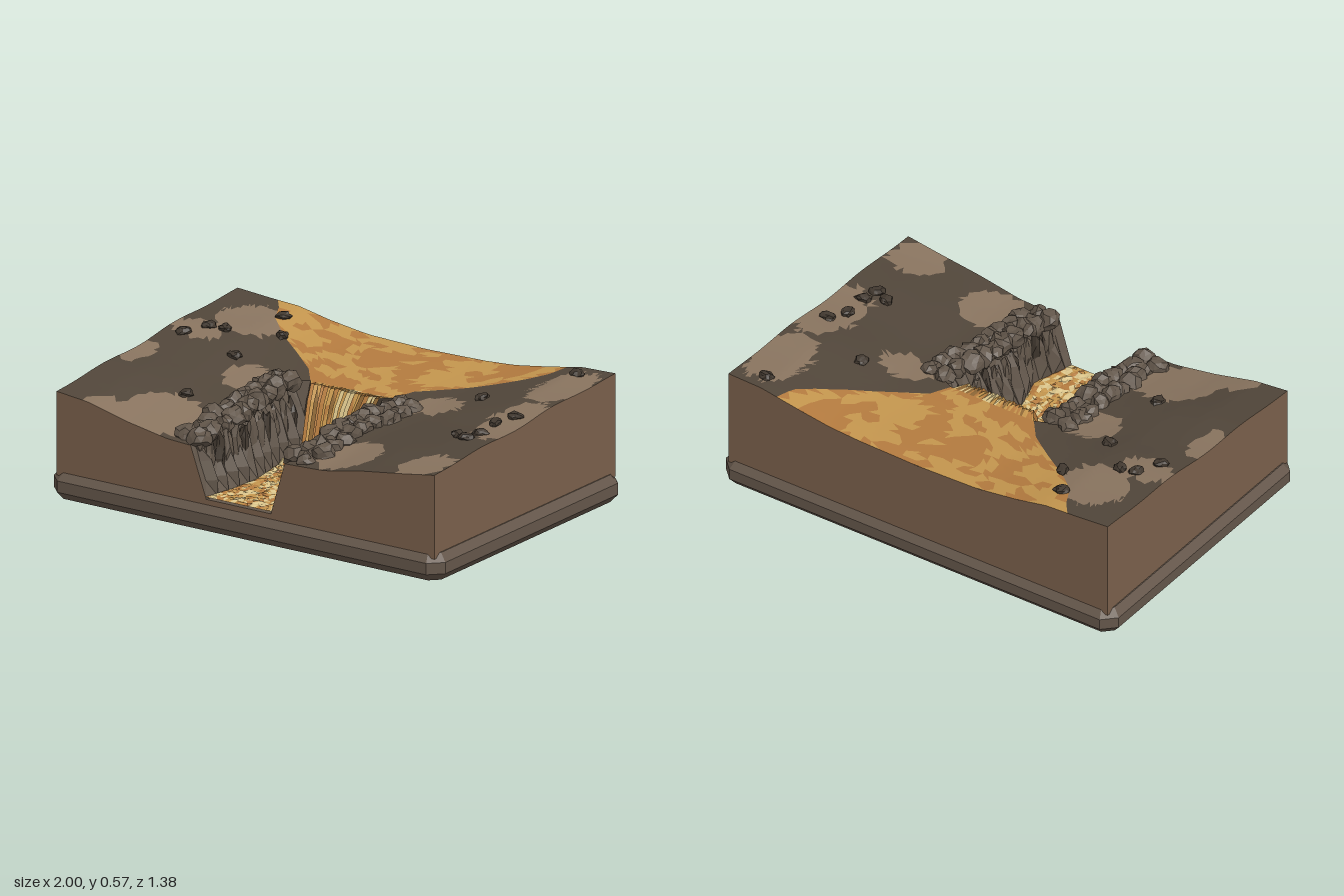
import * as THREE from 'three';

const mat = (name, color) => Object.assign(new THREE.MeshStandardMaterial({ color }), { name });
const M = {
  landDark: mat('dark ash', 0x51463a), landLight: mat('light ash', 0x89745f),
  rock: mat('grey rock', 0x62564a), stone: mat('dark stone', 0x41382f),
  body: mat('brown earth', 0x7a604b), trim: mat('plinth brown', 0x64564a),
  orange: mat('lava orange', 0xb47b3f), gold: mat('lava gold', 0xc4964e),
  cream: mat('hot cream', 0xdac48a), amber: mat('deep amber', 0x8c6635),
};
const W = 0.965, D = 0.663, ROWS = 40, FALL_ROW = 17, COLS = 26;
const FALL_Z = -D + FALL_ROW * 2 * D / ROWS;
const FLOOR = 0.14;

const hash = (a, b = 0, c = 0) => {
  const s = Math.sin(a * 127.1 + b * 311.7 + c * 74.7) * 43758.5453;
  return s - Math.floor(s);
};
// Piecewise linear lookup
const table = (pts, x) => {
  if (x <= pts[0][0]) return pts[0][1];
  for (let i = 1; i < pts.length; i++) {
    const [x0, y0] = pts[i - 1], [x1, y1] = pts[i];
    if (x <= x1) return y0 + (y1 - y0) * (x - x0) / (x1 - x0);
  }
  return pts[pts.length - 1][1];
};
const mix = THREE.MathUtils.lerp;

// Ground height from a back profile, a front profile and gentle waves
const BACK = [[-0.965, 0.56], [-0.8, 0.548], [-0.65, 0.54], [-0.5, 0.51], [-0.3, 0.483], [0, 0.475], [0.3, 0.482], [0.45, 0.492], [0.6, 0.515], [0.8, 0.55], [0.965, 0.555]];
const FRONT = [[-0.965, 0.47], [-0.8, 0.453], [-0.6, 0.405], [-0.4, 0.37], [-0.25, 0.362], [0.2, 0.375], [0.4, 0.383], [0.6, 0.42], [0.8, 0.447], [0.965, 0.472]];
const height = (x, z) => {
  const t = (z + D) / (2 * D);
  const wave = 0.008 * Math.sin(t * 14.5 + 3) * Math.sin(Math.PI * t) * Math.min(1, Math.abs(x) * 1.3);
  return mix(table(BACK, x), table(FRONT, x), Math.pow(t, 1.9 - 0.8 * Math.abs(x))) + wave;
};

// Inner edges of the land: lava lake first, then the canyon lip
const LEFT = [[-0.663, -0.76], [-0.6, -0.71], [-0.5, -0.66], [-0.4, -0.55], [-0.3, -0.41], [-0.2, -0.28], [-0.0995, -0.2], [-0.06, -0.28], [0.3, -0.27], [0.663, -0.28]];
const RIGHT = [[-0.663, 0.72], [-0.57, 0.7], [-0.5, 0.64], [-0.4, 0.53], [-0.3, 0.4], [-0.2, 0.26], [-0.0995, 0.22], [-0.06, 0.3], [0.3, 0.24], [0.45, 0.25], [0.663, 0.2]];
const FLOOR_L = [[-0.0995, -0.17], [0.1, -0.2], [0.35, -0.16], [0.5, -0.17], [0.663, -0.2]];
const FLOOR_R = [[-0.0995, 0.17], [0.1, 0.16], [0.3, 0.14], [0.47, 0.19], [0.663, 0.13]];

// Grid surface: place(i, j) gives a point, pick(x, y, z) gives a material index
function patch(name, nu, nv, place, mats, pick = () => 0, flat = false) {
  const pos = [], lists = mats.map(() => []);
  for (let j = 0; j <= nv; j++) for (let i = 0; i <= nu; i++) pos.push(...place(i, j));
  const add = (...tri) => {
    const c = [0, 1, 2].map(k => tri.reduce((s, n) => s + pos[n * 3 + k] / 3, 0));
    lists[pick(...c)].push(...tri);
  };
  for (let j = 0; j < nv; j++) for (let i = 0; i < nu; i++) {
    const a = j * (nu + 1) + i, b = a + 1, c = a + nu + 1, d = c + 1;
    if ((i + j) % 2) { add(a, c, b); add(b, c, d); } else { add(a, c, d); add(a, d, b); }
  }
  let g = new THREE.BufferGeometry();
  g.setAttribute('position', new THREE.Float32BufferAttribute(pos, 3));
  g.setIndex(lists.flat());
  let start = 0;
  lists.forEach((l, k) => { g.addGroup(start, l.length, k); start += l.length; });
  if (flat) g = g.toNonIndexed();
  g.computeVertexNormals();
  const m = new THREE.Mesh(g, mats);
  m.name = name;
  return m;
}
const rowZ = j => -D + j * 2 * D / ROWS;
// Point on the ground between two edges, jittered inside
const ground = (i, j, nu, edgeA, edgeB) => {
  const inside = i > 0 && i < nu && j > 0 && j < ROWS && j !== FALL_ROW;
  const z = rowZ(j) + (inside ? (hash(i, j, 1) - 0.5) * 0.016 : 0);
  const u = (i + (inside ? (hash(i, j, 2) - 0.5) * 0.5 : 0)) / nu;
  const x = mix(edgeA(z), edgeB(z), u);
  return [x, height(x, z), z];
};
const leftEdge = z => table(LEFT, z), rightEdge = z => table(RIGHT, z);

// Pale ash patches: x, z, radius x, radius z
const PALE = [[-0.72, -0.42, 0.17, 0.16], [-0.85, -0.2, 0.12, 0.09], [-0.5, 0.5, 0.2, 0.17], [-0.68, 0.63, 0.16, 0.1], [-0.42, 0.02, 0.12, 0.12], [-0.93, 0.12, 0.06, 0.12],
  [0.86, -0.42, 0.12, 0.2], [0.9, 0.0, 0.13, 0.22], [0.42, 0.5, 0.14, 0.15], [0.85, 0.56, 0.12, 0.13], [0.45, -0.1, 0.12, 0.09]];
const ash = (x, y, z) => PALE.some(([a, b, r, s]) => ((x - a) / r) ** 2 + ((z - b) / s) ** 2 < 0.75 + 0.4 * hash(Math.round(x * 30), Math.round(z * 30))) ? 1 : 0;

// Faceted boulder with a hashed lumpy surface
function boulder(name, x, y, z, sx, sy, sz, seed, material) {
  const g = new THREE.IcosahedronGeometry(1, 1), p = g.attributes.position;
  for (let i = 0; i < p.count; i++) {
    const [a, b, c] = [p.getX(i), p.getY(i), p.getZ(i)].map(v => Math.round(v * 100) / 100 + 0);
    const k = 0.72 + 0.45 * hash(a + seed, b, c);
    p.setXYZ(i, a * k, b * k, c * k);
  }
  g.scale(sx, sy, sz);
  g.rotateY(seed * 1.7);
  g.computeVertexNormals();
  const m = new THREE.Mesh(g, material);
  m.name = name;
  m.position.set(x, y, z);
  return m;
}

export function createModel() {
  const root = new THREE.Group();
  root.name = 'lavaFallDiorama';

  // Plinth with cut corners and bevelled edges
  const [px, pz, cut] = [0.97, 0.66, 0.04];
  const plan = new THREE.Shape([[-px + cut, -pz], [px - cut, -pz], [px, -pz + cut], [px, pz - cut], [px - cut, pz], [-px + cut, pz], [-px, pz - cut], [-px, -pz + cut]].map(p => new THREE.Vector2(...p)));
  const plinth = new THREE.Mesh(new THREE.ExtrudeGeometry(plan, { depth: 0.05, bevelThickness: 0.035, bevelSize: 0.03, bevelSegments: 1 }).rotateX(-Math.PI / 2).translate(0, 0.035, 0), M.trim);
  plinth.name = 'plinth';
  root.add(plinth);

  // Earth block: four walls whose tops follow the ground
  const wall = (name, half, top, angle, dist) => {
    const s = new THREE.Shape([[-half, 0.1], [half, 0.1], ...top].map(p => new THREE.Vector2(...p)));
    const m = new THREE.Mesh(new THREE.ShapeGeometry(s).translate(0, 0, dist).rotateY(angle), M.body);
    m.name = name;
    root.add(m);
  };
  const line = (n, a, b, f) => Array.from({ length: n + 1 }, (_, i) => { const x = mix(a, b, i / n); return [x, f(x)]; });
  const frontH = x => height(x, D);
  wall('frontWall', W, [...line(COLS, W, rightEdge(D), frontH), [table(FLOOR_R, D), FLOOR], [table(FLOOR_L, D), FLOOR], ...line(COLS, leftEdge(D), -W, frontH)], 0, D);
  wall('backWall', W, line(80, W, -W, x => height(-x, -D)), Math.PI, D);
  wall('leftWall', D, line(ROWS, D, -D, s => height(W, -s)), Math.PI / 2, W);
  wall('rightWall', D, line(ROWS, D, -D, s => height(-W, s)), -Math.PI / 2, W);

  // Ash slopes and the lava lake between them
  const ashMats = [M.landDark, M.landLight];
  root.add(patch('rightSlope', COLS, ROWS, (i, j) => ground(i, j, COLS, () => -W, leftEdge), ashMats, ash));
  root.add(patch('leftSlope', COLS, ROWS, (i, j) => ground(i, j, COLS, rightEdge, () => W), ashMats, ash));
  root.add(patch('lavaLake', 28, FALL_ROW, (i, j) => ground(i, j, 28, leftEdge, rightEdge), [M.orange, M.gold],
    (x, y, z) => hash(Math.floor((x + 0.5 * z) / 0.075), Math.floor((z - 0.35 * x) / 0.06)) > 0.52 ? 1 : 0));

  // Canyon walls and bed with ridged columns
  const steps = [0, 0.35, 0.7, 1];
  root.add(patch('canyon', 7, ROWS - FALL_ROW, (i, j) => {
    const z = rowZ(j + FALL_ROW), left = i < 4, u = steps[left ? i : 7 - i];
    const lip = left ? leftEdge(z) : rightEdge(z), foot = table(left ? FLOOR_L : FLOOR_R, z);
    const ridge = u > 0 && u < 1 && j < ROWS - FALL_ROW ? (j % 2 ? 0.022 : -0.008) * (0.5 + hash(i, j)) : 0;
    return [mix(lip, foot, u) + (left ? ridge : -ridge), mix(height(lip, z), FLOOR, u), z];
  }, [M.rock], undefined, true));
  root.add(patch('cliffBehindFall', 10, 4, (i, j) => {
    const x = mix(mix(-0.2, -0.3, Math.min(1, j)), mix(0.22, 0.32, Math.min(1, j)), i / 10);
    return [x, mix(height(x, FALL_Z), FLOOR, j / 4), FALL_Z + 0.012 * j + (j ? 0.008 * hash(i, j) : 0)];
  }, [M.stone], undefined, true));

  // Lava fall: a pleated sheet in coloured strands
  const FALL = [[-0.1, 0.478], [-0.06, 0.462], [-0.02, 0.4], [0.01, 0.32], [0.04, 0.23], [0.09, 0.15]];
  const strands = 40;
  root.add(patch('lavaFall', strands, 5, (i, j) => {
    const [z, y] = FALL[j], t = j / 5;
    const x = mix(mix(-0.2, -0.13, Math.sqrt(t)), mix(0.21, 0.14, Math.sqrt(t)), i / strands);
    const pleat = j ? (i % 2 ? 0.016 : -0.01) * (0.5 + hash(i, 3)) + 0.02 * t * hash(i, 7) : 0;
    return [x, j ? y : height(x, FALL_Z), z + pleat];
  }, [M.orange, M.gold, M.cream, M.amber], (x, y, z) => {
    const r = hash(Math.floor((x / (1 - 0.34 * Math.sqrt(Math.max(0, 0.478 - y) / 0.33)) + 0.3) / 0.0105), 5);
    return y < 0.19 && r > 0.4 ? 2 : r < 0.27 ? 0 : r < 0.65 ? 1 : r < 0.8 ? 2 : 3;
  }, true));

  // Lower lava stream with pale flow streaks
  root.add(patch('lavaStream', 22, 44, (i, j) => {
    const z = mix(0.03, D, j / 44), inner = i > 0 && i < 22 && j < 44;
    const x = mix(table(FLOOR_L, z) - 0.004, table(FLOOR_R, z) + 0.004, i / 22);
    const foam = 0.03 * Math.max(0, 1 - Math.abs(z - 0.14) / 0.12);
    return [x + (inner ? 0.008 * (hash(i, j) - 0.5) : 0), FLOOR + 0.01 + (inner ? (0.008 + foam) * hash(i, j, 4) : 0), z];
  }, [M.orange, M.gold, M.cream], (x, y, z) => {
    const r = hash(Math.floor(x / 0.015), Math.floor(z / 0.035), 9);
    return r < 0.33 ? 0 : r < 0.66 ? 1 : 2;
  }, true));

  // Boulders in two ragged rows along each canyon lip
  const rim = new THREE.Group();
  rim.name = 'rimBoulders';
  for (const side of [-1, 1]) for (let k = 0; k < 10; k++) for (let r = 0; r < 2; r++) {
    const n = k * 2 + r + (side > 0 ? 40 : 0);
    const z = -0.04 + k * 0.071 + (hash(n, 1) - 0.5) * 0.03;
    const lip = side < 0 ? leftEdge(z) : rightEdge(z);
    const x = lip + side * (r * 0.065 - 0.005 + 0.025 * (hash(n, 2) - 0.5));
    const s = 0.042 + 0.016 * hash(n, 3);
    rim.add(boulder('rimBoulder', x, height(x, z) + 0.008 - r * 0.006, Math.min(z, D - 0.055), s, s * 0.95, s, n, M.rock));
  }
  root.add(rim);

  // Tall slabs leaning on the canyon walls
  const slabs = new THREE.Group();
  slabs.name = 'wallSlabs';
  for (const side of [-1, 1]) for (let k = 0; k < 11; k++) {
    const n = 90 + k + side * 20, z = -0.02 + k * 0.06;
    const lip = side < 0 ? leftEdge(z) : rightEdge(z), foot = table(side < 0 ? FLOOR_L : FLOOR_R, z);
    slabs.add(boulder('wallSlab', mix(lip, foot, 0.4) + side * 0.008, 0.28, z, 0.03, 0.1 + 0.03 * hash(n), 0.03, n, k % 3 ? M.rock : M.stone));
  }
  root.add(slabs);

  // Loose stones on the slopes
  const stones = new THREE.Group();
  stones.name = 'looseStones';
  [[-0.64, -0.53], [-0.54, -0.38], [-0.82, -0.245], [-0.75, -0.26], [-0.87, -0.135], [-0.58, -0.09], [-0.54, 0.32], [0.83, -0.58], [0.6, -0.21], [0.88, -0.05], [0.84, 0.035], [0.85, 0.165], [0.77, 0.215], [0.83, 0.24]]
    .forEach(([x, z], i) => stones.add(boulder('looseStone', x, height(x, z) + 0.006, z, 0.036, 0.02, 0.028, i + 150, M.stone)));
  root.add(stones);
  return root;
}
